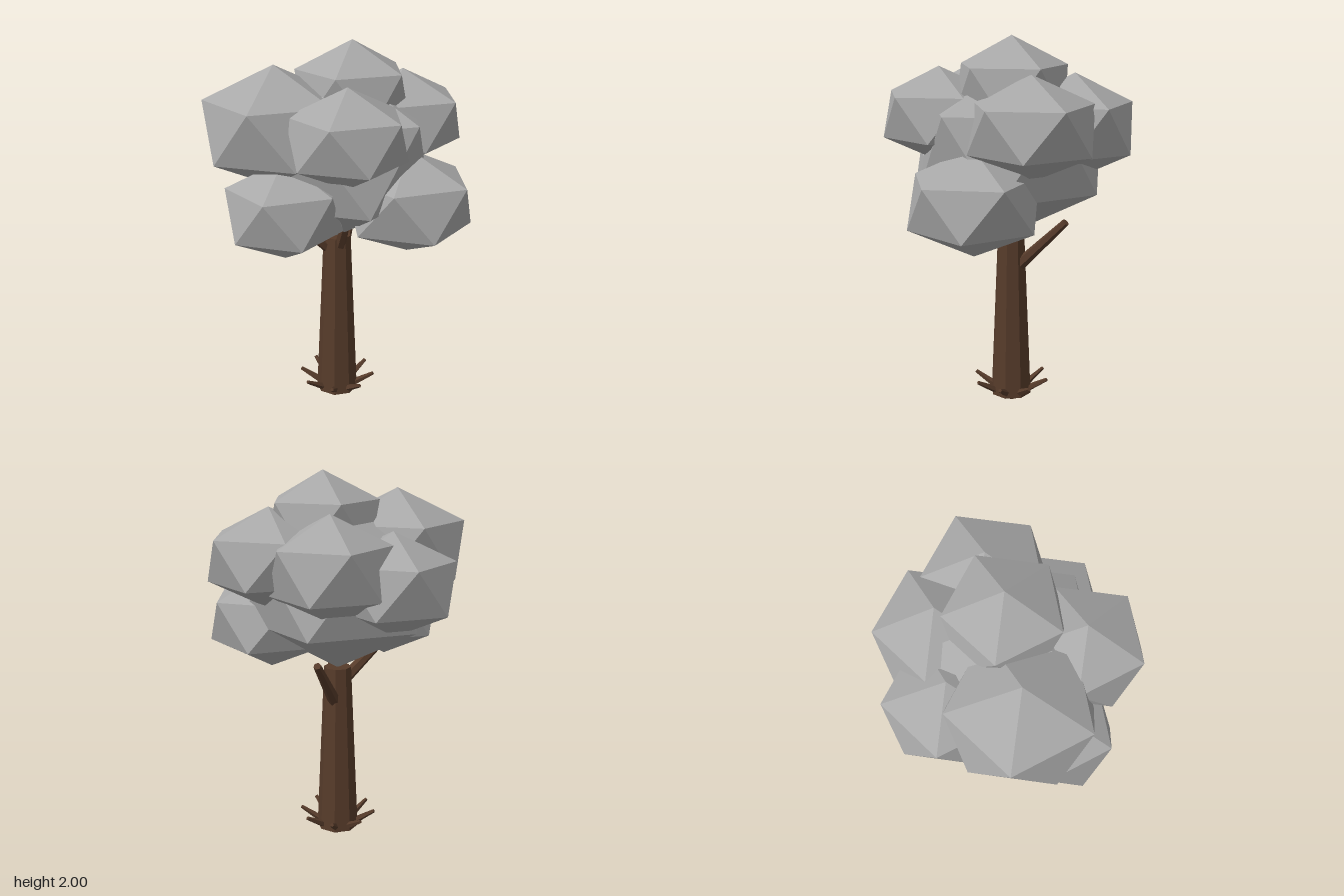
import * as THREE from 'three';

export function createModel() {
  const tree = new THREE.Group();
  tree.name = 'tree';
  const bark = new THREE.MeshStandardMaterial({ color: 0x563b2a, flatShading: true });
  bark.name = 'barkBrown';
  const leaf = new THREE.MeshStandardMaterial({ color: 0xa8a8a8, flatShading: true });
  leaf.name = 'leafGrey';

  // Tapered limb running between two points
  const limb = (name, from, to, r0, r1, sides, parent) => {
    const a = new THREE.Vector3(...from), b = new THREE.Vector3(...to);
    const dir = b.clone().sub(a);
    const mesh = new THREE.Mesh(new THREE.CylinderGeometry(r1, r0, dir.length(), sides), bark);
    mesh.position.copy(a).add(b).multiplyScalar(0.5);
    mesh.quaternion.setFromUnitVectors(new THREE.Vector3(0, 1, 0), dir.normalize());
    mesh.name = name;
    parent.add(mesh);
  };

  limb('trunk', [0, 0.045, 0], [0, 0.97, 0], 0.113, 0.073, 8, tree);

  // Branches reaching into the crown
  const branches = new THREE.Group();
  branches.name = 'branches';
  limb('rightBackBranch', [0.04, 0.79, -0.025], [0.26, 1.06, -0.18], 0.034, 0.02, 6, branches);
  limb('leftBranch', [-0.03, 0.89, -0.01], [-0.32, 1.17, -0.1], 0.034, 0.02, 6, branches);
  limb('frontBranch', [-0.01, 0.9, 0.03], [-0.04, 1.12, 0.14], 0.032, 0.02, 6, branches);
  tree.add(branches);

  // Ring of thin roots poking out of the base
  const roots = new THREE.Group();
  roots.name = 'roots';
  for (let i = 0; i < 8; i++) {
    const c = Math.cos(i * Math.PI / 4), s = Math.sin(i * Math.PI / 4);
    limb('root', [0.02 * c, 0.026, 0.02 * s], [0.205 * c, 0.137, 0.205 * s], 0.027, 0.01, 5, roots);
  }
  tree.add(roots);

  // Leaf clumps: icosahedra standing on a corner, flattened in height
  const clump = new THREE.IcosahedronGeometry(1, 0);
  clump.rotateZ(-Math.atan(2 / (1 + Math.sqrt(5))));
  const crown = new THREE.Group();
  crown.name = 'crown';
  const clumps = [
    // name, x, y, z, radius, half height
    ['coreLeaves', 0, 1.425, 0, 0.535, 0.46],
    ['topLeaves', 0.068, 1.735, 0.033, 0.322, 0.265],
    ['upperLeftLeaves', -0.322, 1.593, -0.088, 0.394, 0.308],
    ['upperFrontLeaves', -0.183, 1.595, 0.319, 0.325, 0.247],
    ['upperRightLeaves', 0.36, 1.575, 0.085, 0.348, 0.257],
    ['upperBackLeaves', 0.225, 1.545, -0.242, 0.338, 0.272],
    ['lowerBackLeaves', -0.083, 1.455, -0.343, 0.35, 0.267],
    ['lowerFrontLeaves', 0.209, 1.208, 0.322, 0.366, 0.272],
    ['lowerLeftLeaves', -0.387, 1.22, 0.081, 0.322, 0.256],
  ];
  for (const [name, x, y, z, r, h] of clumps) {
    const mesh = new THREE.Mesh(clump, leaf);
    mesh.name = name;
    mesh.position.set(x, y, z);
    mesh.scale.set(r, h, r);
    crown.add(mesh);
  }
  tree.add(crown);
  return tree;
}
